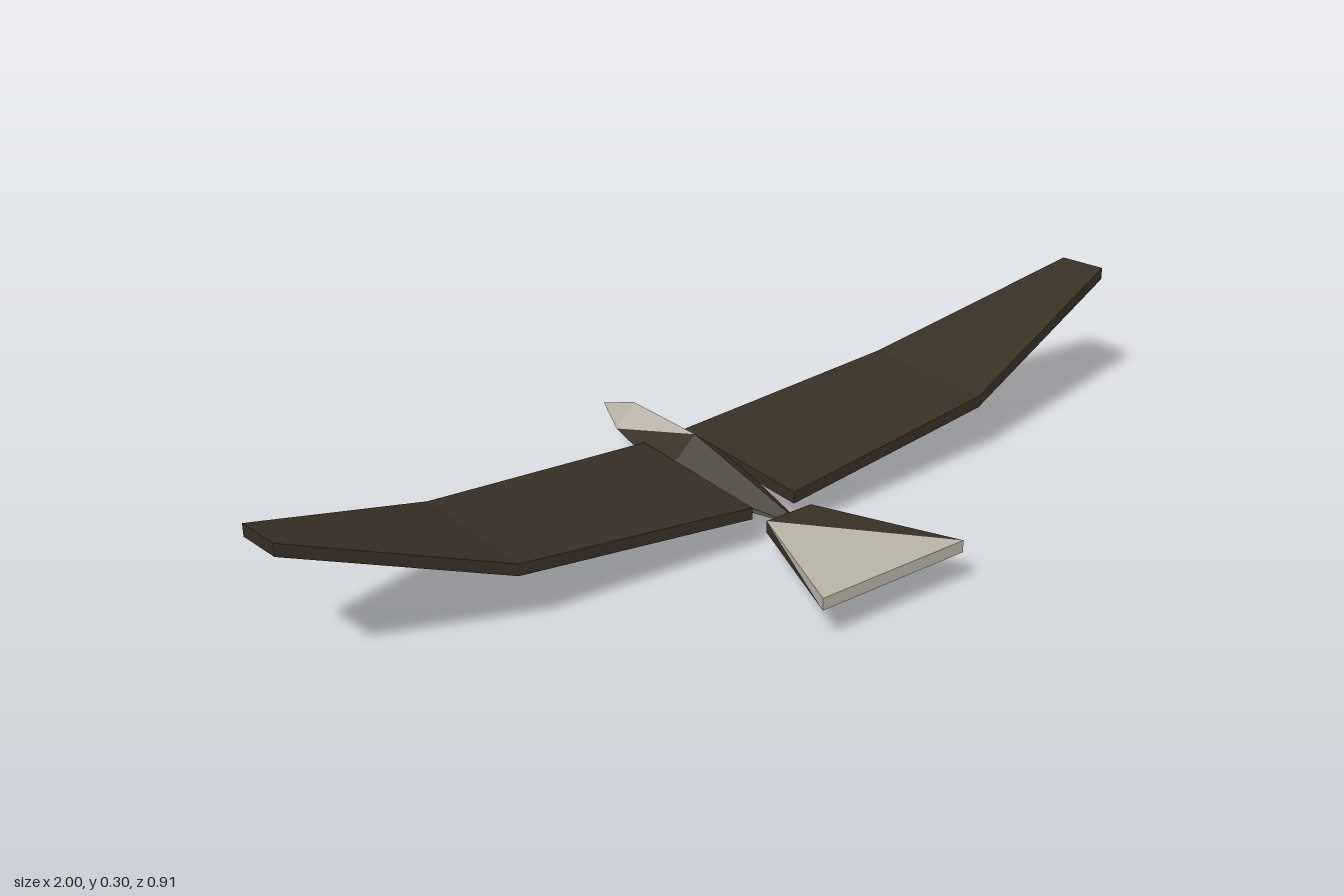
import * as THREE from 'three';

const mat = (name, color) => new THREE.MeshStandardMaterial({ name, color });

// Faceted mesh: each face is a list of corners, turned to face away from the centre
function facets(name, material, centre, faces) {
  const c = new THREE.Vector3(...centre);
  const out = [];
  for (const face of faces) {
    for (let i = 1; i < face.length - 1; i++) {
      const [a, b, d] = [face[0], face[i], face[i + 1]].map(p => new THREE.Vector3(...p));
      const n = b.clone().sub(a).cross(d.clone().sub(a));
      const mid = a.clone().add(b).add(d).divideScalar(3).sub(c);
      const tri = n.dot(mid) < 0 ? [a, d, b] : [a, b, d];
      tri.forEach(p => out.push(p.x, p.y, p.z));
    }
  }
  const geo = new THREE.BufferGeometry();
  geo.setAttribute('position', new THREE.Float32BufferAttribute(out, 3));
  geo.computeVertexNormals();
  const mesh = new THREE.Mesh(geo, material);
  mesh.name = name;
  return mesh;
}

export function createModel() {
  const model = new THREE.Group();
  model.name = 'bird';
  const dark = mat('dark brown feathers', 0x382f24);
  const under = mat('grey brown underside', 0x8c8472);
  const pale = mat('pale feathers', 0xb8b3a6);

  // Body: diamond sections from the beak (-z) back to the tail root
  const body = new THREE.Group();
  body.name = 'body';
  const beak = [0, 0.094, -0.457];
  const headTop = [0, 0.135, -0.35], headLow = [0, 0.04, -0.35];
  const backTop = [0, 0.14, -0.14], belly = [0, 0, -0.135];
  const rumpTop = [0, 0.082, 0.16], rumpLow = [0, 0.063, 0.16];
  const palF = [], darkF = [], underF = [];
  for (const s of [1, -1]) {
    const cheek = [s * 0.048, 0.09, -0.345];
    const flank = [s * 0.08, 0.075, -0.135];
    const rump = [s * 0.012, 0.073, 0.16];
    palF.push([beak, headTop, cheek], [headTop, cheek, backTop],
      [beak, headLow, cheek], [cheek, headLow, flank]);
    darkF.push([cheek, flank, backTop], [backTop, flank, rump, rumpTop], [rump, rumpTop, rumpLow]);
    underF.push([headLow, belly, flank], [belly, flank, rump, rumpLow]);
  }
  const core = [0, 0.075, -0.15];
  body.add(facets('head', pale, core, palF), facets('back', dark, core, darkF),
    facets('belly', under, core, underF));
  model.add(body);

  // Wings: two panels each, from root to bend to tip
  // section: x, front z, rear z, front top y, rear top y, thickness
  const sections = [
    [0.052, -0.243, 0.108, 0.098, 0.093, 0.025],
    [0.57, -0.224, 0.086, 0.14, 0.141, 0.025],
    [1, -0.098, 0.016, 0.29, 0.3, 0.026],
  ];
  for (const s of [1, -1]) {
    const wing = new THREE.Group();
    wing.name = s > 0 ? 'leftWing' : 'rightWing';
    const rings = sections.map(([x, zf, zr, yf, yr, t]) => [
      [s * x, yf, zf], [s * x, yr, zr], [s * x, yr - t, zr], [s * x, yf - t, zf]]);
    for (let i = 0; i < 2; i++) {
      const a = rings[i], b = rings[i + 1];
      const centre = [0, 1, 2].map(k => [...a, ...b].reduce((sum, p) => sum + p[k], 0) / 8);
      const side = j => [a[j], a[(j + 1) % 4], b[(j + 1) % 4], b[j]];
      const panel = i ? 'outer' : 'inner';
      wing.add(
        facets(panel + 'WingTop', dark, centre, [side(0), side(1), side(3), i ? b : a]),
        facets(panel + 'WingUnderside', under, centre, [side(2)]));
    }
    model.add(wing);
  }

  // Tail: flared wedge, its top split along a diagonal into dark and pale
  const tail = new THREE.Group();
  tail.name = 'tail';
  const z0 = 0.155, z1 = 0.457;
  const tl = [-0.055, 0.085, z0], tr = [0.055, 0.085, z0];
  const bl = [-0.055, 0.06, z0], br = [0.055, 0.06, z0];
  const TL = [-0.172, 0.095, z1], TR = [0.172, 0.095, z1];
  const BL = [-0.172, 0.07, z1], BR = [0.172, 0.07, z1];
  const tc = [0, 0.078, 0.33];
  tail.add(
    facets('tailDarkFacets', dark, tc, [[tl, tr, TR], [tl, tr, br, bl], [tr, br, BR], [tl, bl, BL]]),
    facets('tailPaleFacets', pale, tc, [[tl, TR, TL], [TL, TR, BR, BL], [tr, TR, BR], [tl, TL, BL]]),
    facets('tailUnderside', pale, tc, [[bl, br, BR, BL]]));
  model.add(tail);

  return model;
}
